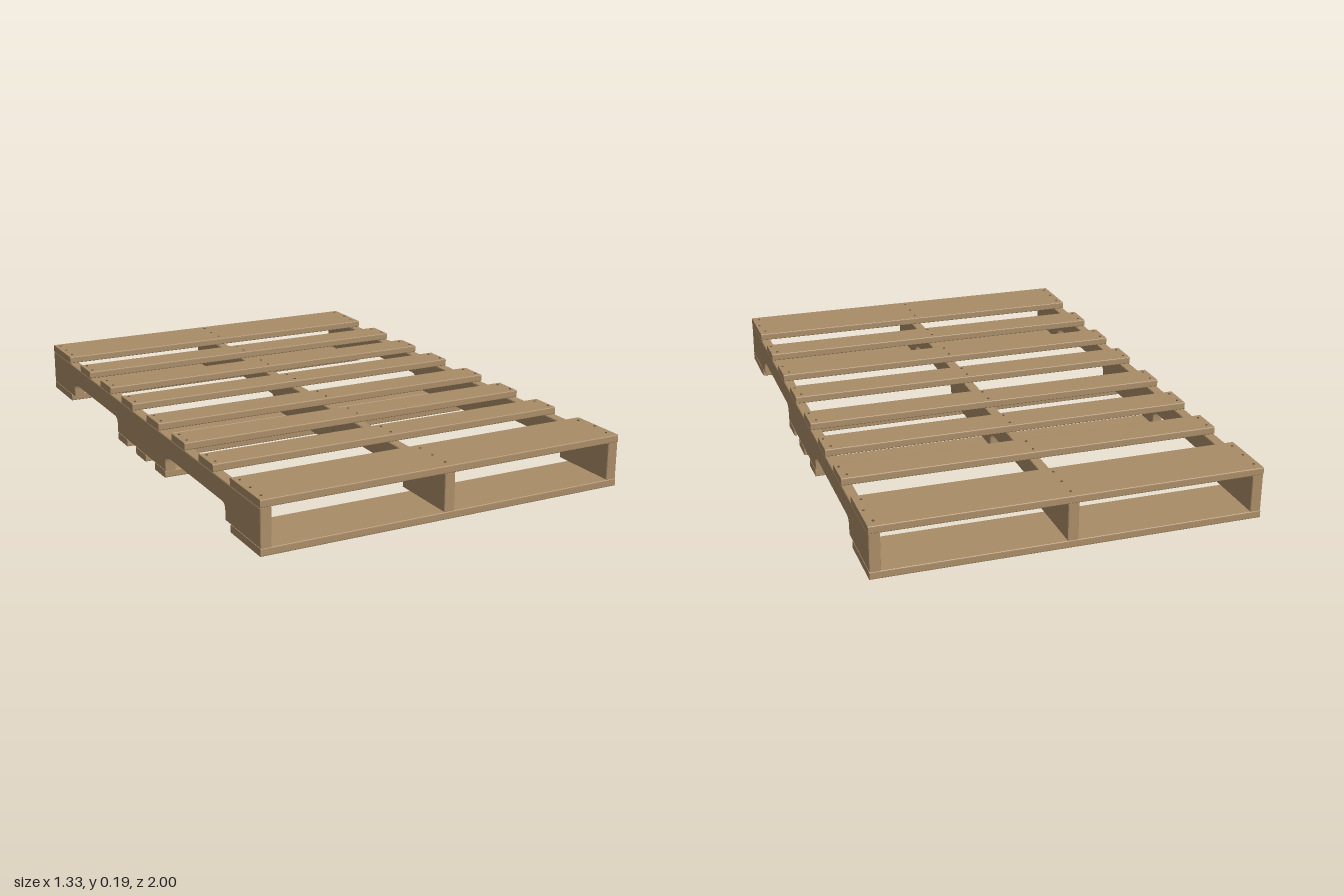
import * as THREE from 'three';

const HALF_W = 0.665;     // half length of the deck boards
const BOARD_T = 0.026;    // board thickness
const BOTTOM_Y = 0.003;   // underside of the bottom boards
const BEAM_Y0 = 0.029, BEAM_Y1 = 0.159;
const BEAM_W = 0.038;

const wood = new THREE.MeshStandardMaterial({ color: 0xa98c68 });
const steel = new THREE.MeshStandardMaterial({ color: 0x6a5a48 });

// Board lying along x with softly eased long edges
function boardGeometry(width) {
  const w = width / 2, r = 0.004, t = BOARD_T;
  const s = new THREE.Shape();
  s.moveTo(-w + r, 0);
  s.lineTo(w - r, 0);
  s.quadraticCurveTo(w, 0, w, r);
  s.lineTo(w, t - r);
  s.quadraticCurveTo(w, t, w - r, t);
  s.lineTo(-w + r, t);
  s.quadraticCurveTo(-w, t, -w, t - r);
  s.lineTo(-w, r);
  s.quadraticCurveTo(-w, 0, -w + r, 0);
  const g = new THREE.ExtrudeGeometry(s, { depth: HALF_W * 2, bevelEnabled: false, curveSegments: 3 });
  g.translate(0, 0, -HALF_W);
  g.rotateY(Math.PI / 2);
  return g;
}

// Stringer side profile with two rounded fork notches, extruded across x
function stringerGeometry() {
  const b = 0.004, y0 = BEAM_Y0 + b, y1 = BEAM_Y1 - b, end = 1 - b;
  const top = 0.085 + b, r = 0.03;
  const s = new THREE.Shape();
  s.moveTo(-end, y0);
  for (const [a, c] of [[-0.74 - b, -0.24 + b], [0.24 - b, 0.74 + b]]) {
    s.lineTo(a, y0);
    s.lineTo(a, top - r);
    s.quadraticCurveTo(a, top, a + r, top);
    s.lineTo(c - r, top);
    s.quadraticCurveTo(c, top, c, top - r);
    s.lineTo(c, y0);
  }
  s.lineTo(end, y0);
  s.lineTo(end, y1);
  s.lineTo(-end, y1);
  s.closePath();
  const g = new THREE.ExtrudeGeometry(s, {
    depth: BEAM_W - 2 * b, curveSegments: 6,
    bevelEnabled: true, bevelSize: b, bevelThickness: b, bevelSegments: 2,
  });
  g.translate(0, 0, -BEAM_W / 2 + b);
  g.rotateY(Math.PI / 2);
  return g;
}

export function createModel() {
  const model = new THREE.Group();
  model.name = 'pallet';

  const add = (name, geometry, material, x, y, z) => {
    const m = new THREE.Mesh(geometry, material);
    m.name = name;
    m.position.set(x, y, z);
    model.add(m);
  };

  // Three notched stringers
  const stringer = stringerGeometry();
  const beamX = HALF_W - BEAM_W / 2;
  for (const x of [-beamX, 0, beamX]) add('stringer', stringer, wood, x, 0, 0);

  // Boards, each nailed to every stringer
  const nail = new THREE.CylinderGeometry(0.004, 0.004, 0.006, 10);
  const layBoards = (name, geometry, centres, nailOffsets, y, nailY) => {
    for (const z of centres) {
      add(name, geometry, wood, 0, y, z);
      for (const x of [-beamX, 0, beamX]) {
        nailOffsets.forEach((dz, i) => {
          const dx = x > 0 ? (i % 2 ? 0.006 : -0.006) : 0;
          add('nail', nail, steel, x + dx, nailY, z + dz);
        });
      }
    }
  };

  const wide = boardGeometry(0.218);
  const deck = boardGeometry(0.115);
  const narrow = boardGeometry(0.097);
  const topNail = BEAM_Y1 + BOARD_T - 0.0005, bottomNail = 0.003;
  const ends = [-0.891, 0.891];
  const endNails = [-0.075, 0, 0.075];

  layBoards('topEndBoard', wide, ends, endNails, BEAM_Y1, topNail);
  layBoards('topBoard', deck, [-0.594, -0.36, -0.127, 0.127, 0.36, 0.594],
    [-0.033, 0.033], BEAM_Y1, topNail);
  layBoards('bottomEndBoard', wide, ends, endNails, BOTTOM_Y, bottomNail);
  layBoards('bottomBoard', narrow, [-0.186, 0, 0.186], [-0.028, 0.028], BOTTOM_Y, bottomNail);

  return model;
}
